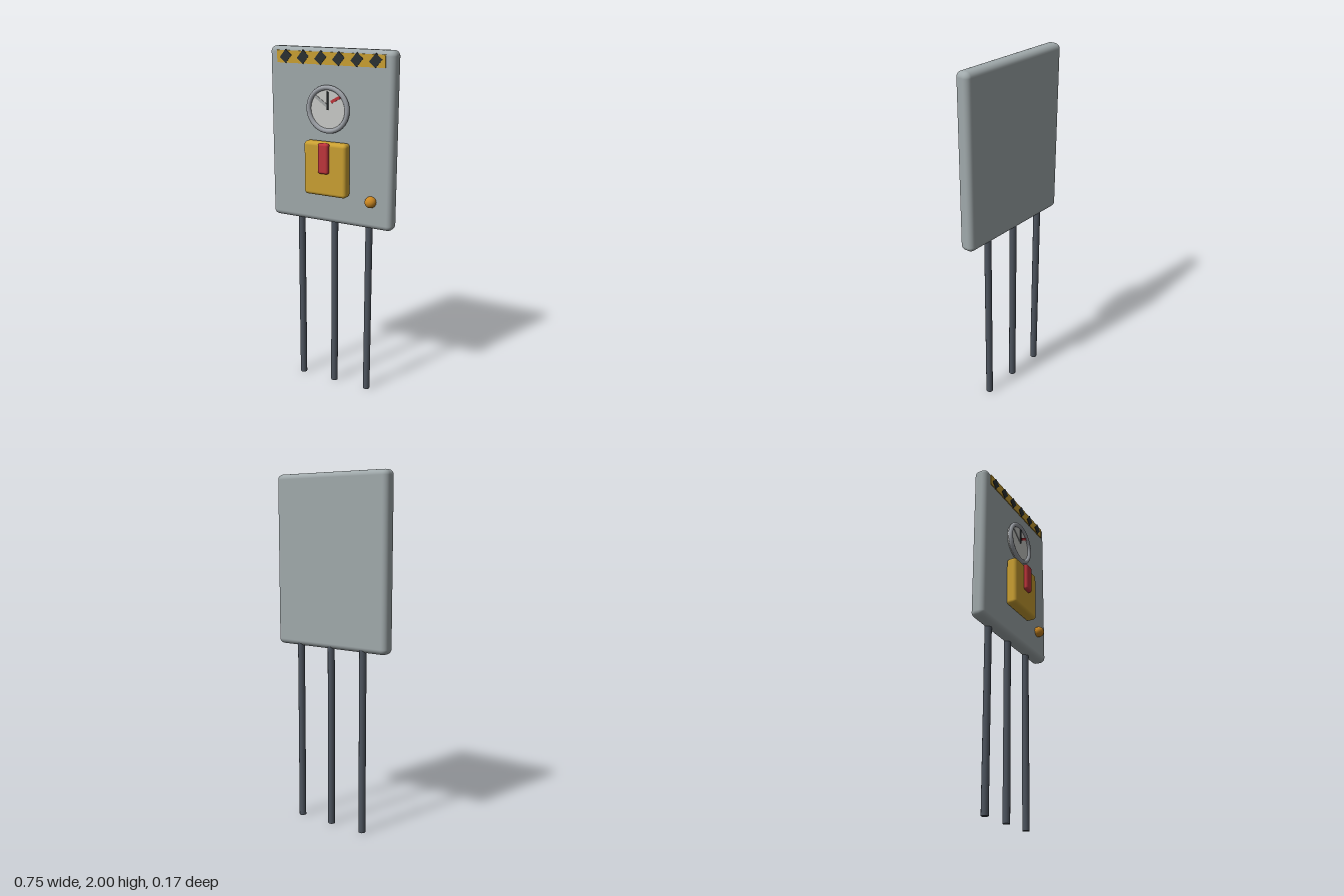
import * as THREE from 'three';
import { RoundedBoxGeometry } from 'three/addons/geometries/RoundedBoxGeometry.js';

export function createModel() {
  const group = new THREE.Group();
  const paint = (name, hex) => {
    const m = new THREE.MeshStandardMaterial({ color: hex });
    m.name = name;
    return m;
  };
  const panelGrey = paint('panel grey', 0xa0a9ab);
  const ringGrey = paint('ring grey', 0x9ca0a6);
  const dialWhite = paint('dial white', 0xc9cac7);
  const markGrey = paint('mark grey', 0xa6a9a9);
  const yellow = paint('safety yellow', 0xcaa032);
  const red = paint('lever red', 0xbe353b);
  const amber = paint('lamp amber', 0xcb8722);
  const steel = paint('leg steel', 0x4e555f);
  const black = paint('marking black', 0x2a3032);

  const add = (name, geometry, material, x, y, z, turn = 0) => {
    const mesh = new THREE.Mesh(geometry, material);
    mesh.name = name;
    mesh.position.set(x, y, z);
    mesh.rotation.z = turn;
    group.add(mesh);
    return mesh;
  };
  const box = (w, h, d) => new THREE.BoxGeometry(w, h, d);

  // Panel on three posts
  add('panel', new RoundedBoxGeometry(0.754, 0.967, 0.084, 4, 0.03), panelGrey, 0, 1.5165, -0.044);
  for (const x of [-0.218, 0, 0.218]) {
    add('leg', new THREE.CylinderGeometry(0.02, 0.02, 1.06, 12), steel, x, 0.53, -0.063);
  }

  // Warning strip with tilted squares
  add('warningStrip', box(0.65, 0.066, 0.006), yellow, 0, 1.946, 0);
  for (let i = 0; i < 6; i++) {
    add('warningMark', box(0.048, 0.058, 0.008), black, (i - 2.5) * 0.108, 1.948, 0.001, -0.7);
  }

  // Gauge: drum, rim, needle and two scale marks
  const drum = add('gaugeDial', new THREE.CylinderGeometry(0.117, 0.117, 0.022, 32), dialWhite, 0, 1.68, 0.008);
  drum.rotation.x = Math.PI / 2;
  add('gaugeRim', new THREE.TorusGeometry(0.117, 0.0135, 12, 40), ringGrey, 0, 1.68, 0.02);
  add('gaugeNeedle', box(0.009, 0.096, 0.006), black, 0, 1.727, 0.025);
  add('gaugeMark', box(0.094, 0.016, 0.004), markGrey, -0.042, 1.723, 0.02, -0.6);
  add('gaugeRedMark', box(0.06, 0.016, 0.005), red, 0.047, 1.736, 0.021, 0.52);

  // Switch box and lever
  add('switchBox', new RoundedBoxGeometry(0.26, 0.3, 0.066, 4, 0.02), yellow, 0, 1.355, 0.03);
  add('switchLever', new RoundedBoxGeometry(0.064, 0.17, 0.035, 4, 0.014), red, 0, 1.42, 0.0675);

  // Indicator lamp
  add('indicatorLamp', new THREE.SphereGeometry(0.032, 20, 14), amber, 0.258, 1.194, 0.01);

  return group;
}
